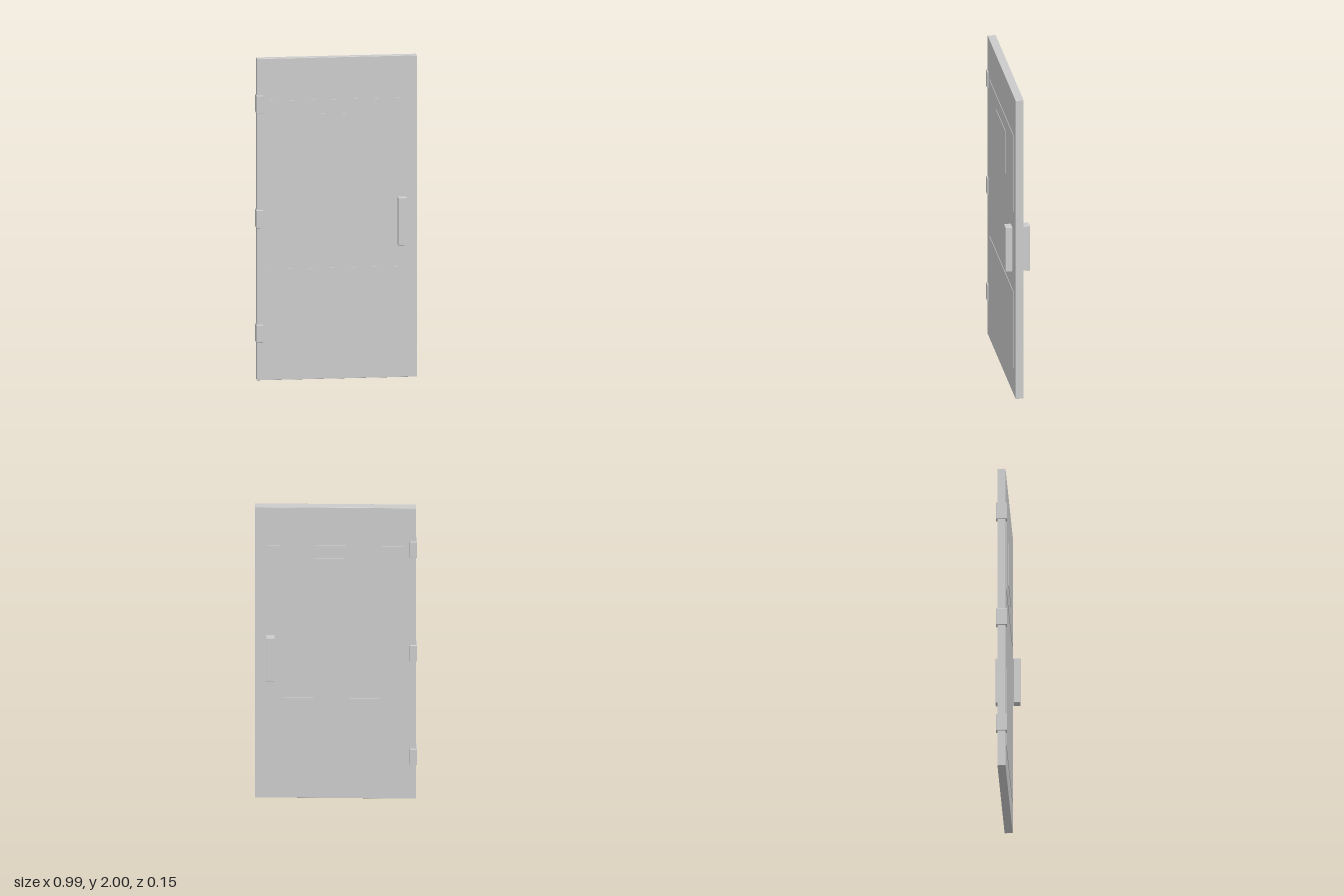
import * as THREE from 'three';
import { RoundedBoxGeometry } from 'three/addons/geometries/RoundedBoxGeometry.js';

export function createModel() {
  const door = new THREE.Group();
  door.name = 'door';
  const material = new THREE.MeshStandardMaterial({ color: 0xcccccc });

  // Box from its x, y and z ranges; a bevel softens its edges
  function block(name, [x0, x1], [y0, y1], [z0, z1], bevel = 0) {
    const size = [x1 - x0, y1 - y0, z1 - z0];
    const geometry = bevel
      ? new RoundedBoxGeometry(...size, 2, bevel)
      : new THREE.BoxGeometry(...size);
    const mesh = new THREE.Mesh(geometry, material);
    mesh.name = name;
    mesh.position.set((x0 + x1) / 2, (y0 + y1) / 2, (z0 + z1) / 2);
    door.add(mesh);
  }

  // Slab
  block('doorSlab', [-0.491, 0.494], [0, 2], [-0.025, 0.025], 0.002);

  // Raised panels and window plate, slightly proud of both faces
  block('upperPanel', [-0.415, 0.415], [1.22, 1.738], [-0.028, 0.028]);
  block('lowerPanel', [-0.415, 0.415], [0.173, 0.69], [-0.028, 0.028]);
  block('windowPlate', [-0.16, 0.16], [1.365, 1.65], [-0.031, 0.031]);

  // Hinges wrapping the right edge
  for (const [name, y] of [['lowerHinge', 0.29], ['middleHinge', 1.003], ['upperHinge', 1.716]]) {
    block(name, [-0.496, -0.452], [y - 0.056, y + 0.056], [-0.034, 0.034], 0.004);
  }

  // Pull bars standing off the front and back
  block('frontHandle', [0.373, 0.427], [0.825, 1.125], [0.033, 0.076], 0.004);
  block('backHandle', [0.373, 0.427], [0.825, 1.125], [-0.076, -0.033], 0.004);

  return door;
}
